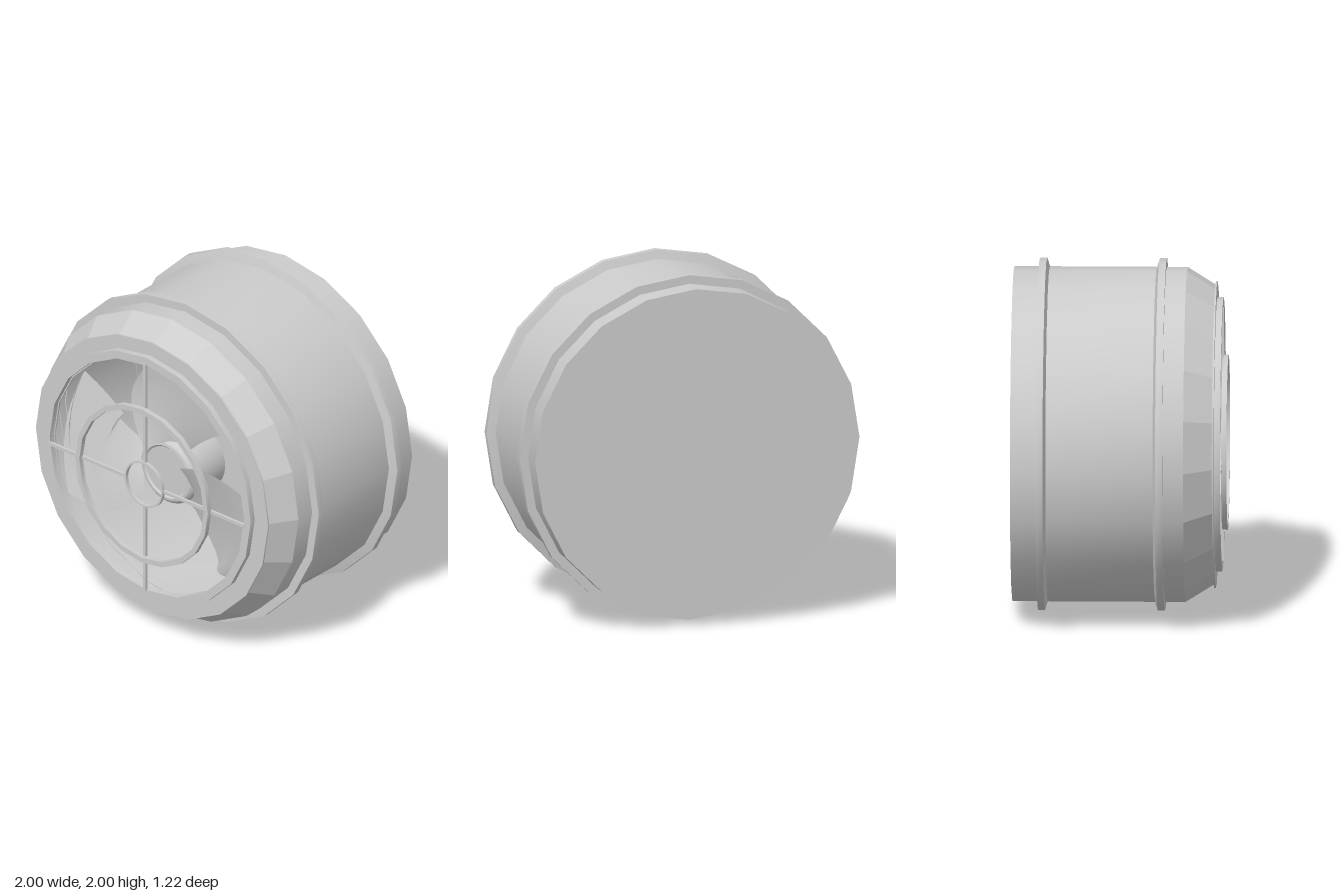
import * as THREE from 'three';
import { toCreasedNormals } from 'three/addons/utils/BufferGeometryUtils.js';

const SIDES = 20;
const smooth = new THREE.MeshStandardMaterial({ color: 0xcccccc, side: THREE.DoubleSide });
const flat = new THREE.MeshStandardMaterial({ color: 0xcccccc, side: THREE.DoubleSide, flatShading: true });

function addMesh(parent, name, geometry, material = smooth) {
  const mesh = new THREE.Mesh(geometry, material);
  mesh.name = name;
  parent.add(mesh);
  return mesh;
}

// Profile of [radius, z] points turned around the z axis
function turned(profile, sides = SIDES) {
  const points = profile.map(([r, z]) => new THREE.Vector2(r, z));
  const geometry = new THREE.LatheGeometry(points, sides).rotateX(Math.PI / 2);
  return toCreasedNormals(geometry, 0.5);
}

// Closed ring with a rectangular section
function ring(inner, outer, back, front, sides = SIDES) {
  return turned([[inner, back], [outer, back], [outer, front], [inner, front], [inner, back]], sides);
}

// Blade lofted between two edges given as [angle in degrees, radius]
function bladeGeometry(leading, trailing) {
  const curve = (pts) => new THREE.CatmullRomCurve3(pts.map(([a, r]) => new THREE.Vector3(a, r, 0)));
  const edgeA = curve(leading), edgeB = curve(trailing);
  const along = 20, across = 10;
  const positions = [], index = [];
  for (let i = 0; i <= along; i++) {
    const a = edgeA.getPoint(i / along), b = edgeB.getPoint(i / along);
    for (let j = 0; j <= across; j++) {
      const p = a.clone().lerp(b, j / across);
      const angle = THREE.MathUtils.degToRad(p.x);
      const z = THREE.MathUtils.lerp(0.45, 0.32, j / across);
      positions.push(p.y * Math.cos(angle), p.y * Math.sin(angle), z);
      if (i < along && j < across) {
        const k = i * (across + 1) + j, n = k + across + 1;
        index.push(k, n + 1, n, k, k + 1, n + 1);
      }
    }
  }
  const geometry = new THREE.BufferGeometry();
  geometry.setAttribute('position', new THREE.Float32BufferAttribute(positions, 3));
  geometry.setIndex(index);
  geometry.computeVertexNormals();
  return geometry;
}

export function createModel() {
  const model = new THREE.Group();
  model.name = 'ductFan';

  // Hollow drum, closed at the back
  const housing = new THREE.Group();
  housing.name = 'housing';
  housing.position.y = 1;
  model.add(housing);
  addMesh(housing, 'drum', turned([[0, -0.61], [0.95, -0.61], [0.95, 0.37]]));
  addMesh(housing, 'frontTaper', turned([[0.95, 0.37], [0.85, 0.53]]), flat);
  addMesh(housing, 'frontLip', ring(0.73, 0.87, 0.53, 0.54));

  // Flanges with one sloped side each, facing one another apart
  addMesh(housing, 'frontFlange', turned([[0.945, 0.195], [1, 0.212], [1, 0.253], [0.945, 0.253]]));
  addMesh(housing, 'rearFlange', turned([[0.945, -0.465], [1, -0.465], [1, -0.425], [0.945, -0.408]]));

  // Outer ring of the guard
  addMesh(model, 'guardOuterRing', ring(0.728, 0.778, 0.535, 0.575)).position.set(-0.008, 1.005, 0);

  // Parts sharing the slightly offset fan axis
  const fan = new THREE.Group();
  fan.name = 'fan';
  fan.position.set(-0.022, 0.962, 0);
  model.add(fan);
  addMesh(fan, 'guardMiddleRing', ring(0.466, 0.497, 0.575, 0.605));
  addMesh(fan, 'guardCentreRing', ring(0.132, 0.143, 0.568, 0.588, 32));

  // Four guard spokes: right, up, left, down
  [0.75, 0.78, 0.72, 0.69].forEach((end, i) => {
    const length = end - 0.137;
    const spoke = new THREE.BoxGeometry(length, 0.02, 0.016);
    spoke.translate(0.137 + length / 2, 0, 0.573).rotateZ(i * Math.PI / 2);
    addMesh(fan, 'guardSpoke', spoke);
  });

  // Hub with a rounded front edge
  addMesh(fan, 'hub', turned([
    [0, 0.12], [0.205, 0.12], [0.205, 0.36], [0.198, 0.378], [0.182, 0.392], [0.165, 0.395],
    [0.155, 0.385], [0, 0.385]], 32));

  // Three curved blades: leading edge, trailing edge
  const blades = [
    [[[131, 0.18], [116, 0.48], [103, 0.63], [90, 0.78]],
      [[53, 0.18], [45, 0.45], [40, 0.67], [44, 0.74], [49, 0.78]]],
    [[[34, 0.18], [21, 0.4], [8, 0.63], [-1, 0.77]],
      [[-55, 0.18], [-54, 0.46], [-60, 0.64], [-56, 0.69], [-50, 0.77]]],
    [[[235, 0.18], [224, 0.53], [213, 0.69], [208, 0.77]],
      [[160, 0.18], [158, 0.43], [150, 0.56], [150, 0.67], [155, 0.73], [160, 0.77]]],
  ];
  blades.forEach(([a, b]) => addMesh(fan, 'blade', bladeGeometry(a, b)));

  return model;
}
